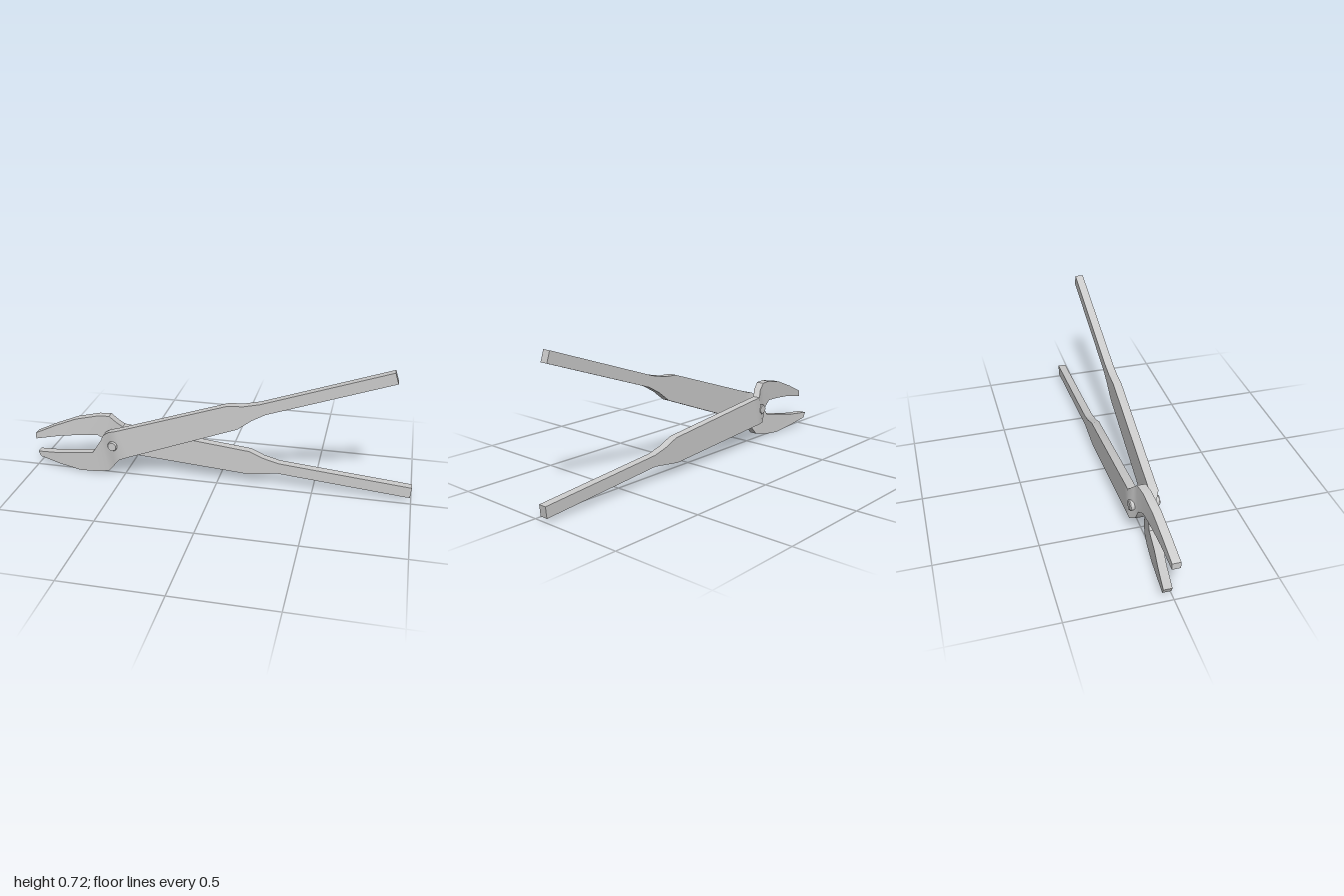
import * as THREE from 'three';
import { toCreasedNormals } from 'three/addons/utils/BufferGeometryUtils.js';

const THICKNESS = 0.042;
const material = new THREE.MeshStandardMaterial({ color: 0xcccccc });

// Flat bar swept through stations [upper x, upper y, lower x, lower y, centre z]
function barGeometry(stations) {
  const pos = [], index = [], h = THICKNESS / 2;
  stations.forEach(([ux, uy, lx, ly, z], s) => {
    pos.push(ux, uy, z + h, ux, uy, z - h, lx, ly, z - h, lx, ly, z + h);
    if (s === 0) return;
    const b = s * 4, a = b - 4;
    for (let i = 0; i < 4; i++) {
      const j = (i + 1) % 4;
      index.push(a + i, b + i, b + j, a + i, b + j, a + j);
    }
  });
  const e = (stations.length - 1) * 4;
  index.push(0, 1, 2, 0, 2, 3, e, e + 3, e + 2, e, e + 2, e + 1);
  const g = new THREE.BufferGeometry();
  g.setAttribute('position', new THREE.Float32BufferAttribute(pos, 3));
  g.setIndex(index);
  return toCreasedNormals(g, 0.6);
}

// Lower jaw, running through the pivot into the raised handle
const frontArm = [
  [-1.0, 0.075, -0.987, 0.046, -0.031],
  [-0.88, 0.086, -0.874, 0.021, -0.016],
  [-0.78, 0.104, -0.75, 0.003, -0.002],
  [-0.67, 0.123, -0.644, 0.012, 0.008],
  [-0.618, 0.203, -0.58, 0.028, 0.016],
  [-0.6, 0.238, -0.545, 0.07, 0.022],
  [-0.565, 0.266, -0.51, 0.113, 0.041],
  [-0.52, 0.278, -0.46, 0.133, 0.041],
  [0.067, 0.478, 0.12, 0.356, 0.041],
  [0.147, 0.483, 0.19, 0.41, 0.041],
  [0.232, 0.503, 0.26, 0.45, 0.041],
  [0.867, 0.725, 0.885, 0.67, 0.041],
];

// Upper jaw, running through the pivot into the lowered handle
const backArm = [
  [-0.987, 0.205, -0.987, 0.172, 0.008],
  [-0.874, 0.257, -0.853, 0.198, 0.0],
  [-0.757, 0.303, -0.75, 0.21, -0.008],
  [-0.64, 0.328, -0.65, 0.217, -0.018],
  [-0.58, 0.328, -0.605, 0.19, -0.026],
  [-0.545, 0.295, -0.58, 0.135, -0.032],
  [-0.515, 0.262, -0.545, 0.113, -0.051],
  [-0.46, 0.257, -0.5, 0.108, -0.051],
  [0.168, 0.191, 0.158, 0.059, -0.051],
  [0.238, 0.16, 0.227, 0.068, -0.051],
  [0.32, 0.138, 0.318, 0.08, -0.051],
  [1.0, 0.077, 0.994, 0.02, -0.051],
];

export function createModel() {
  const group = new THREE.Group();
  const add = (name, geometry) => {
    const mesh = new THREE.Mesh(geometry, material);
    mesh.name = name;
    group.add(mesh);
    return mesh;
  };

  add('frontArm', barGeometry(frontArm));
  add('backArm', barGeometry(backArm));

  // Rivet with softly bevelled heads
  const profile = [[0, -0.075], [0.022, -0.075], [0.026, -0.07], [0.026, 0.067], [0.022, 0.073], [0, 0.073]]
    .map(([r, y]) => new THREE.Vector2(r, y));
  const rivet = add('pivotRivet', toCreasedNormals(new THREE.LatheGeometry(profile, 24), 0.5));
  rivet.rotation.x = Math.PI / 2;
  rivet.position.set(-0.545, 0.19, 0);

  return group;
}
